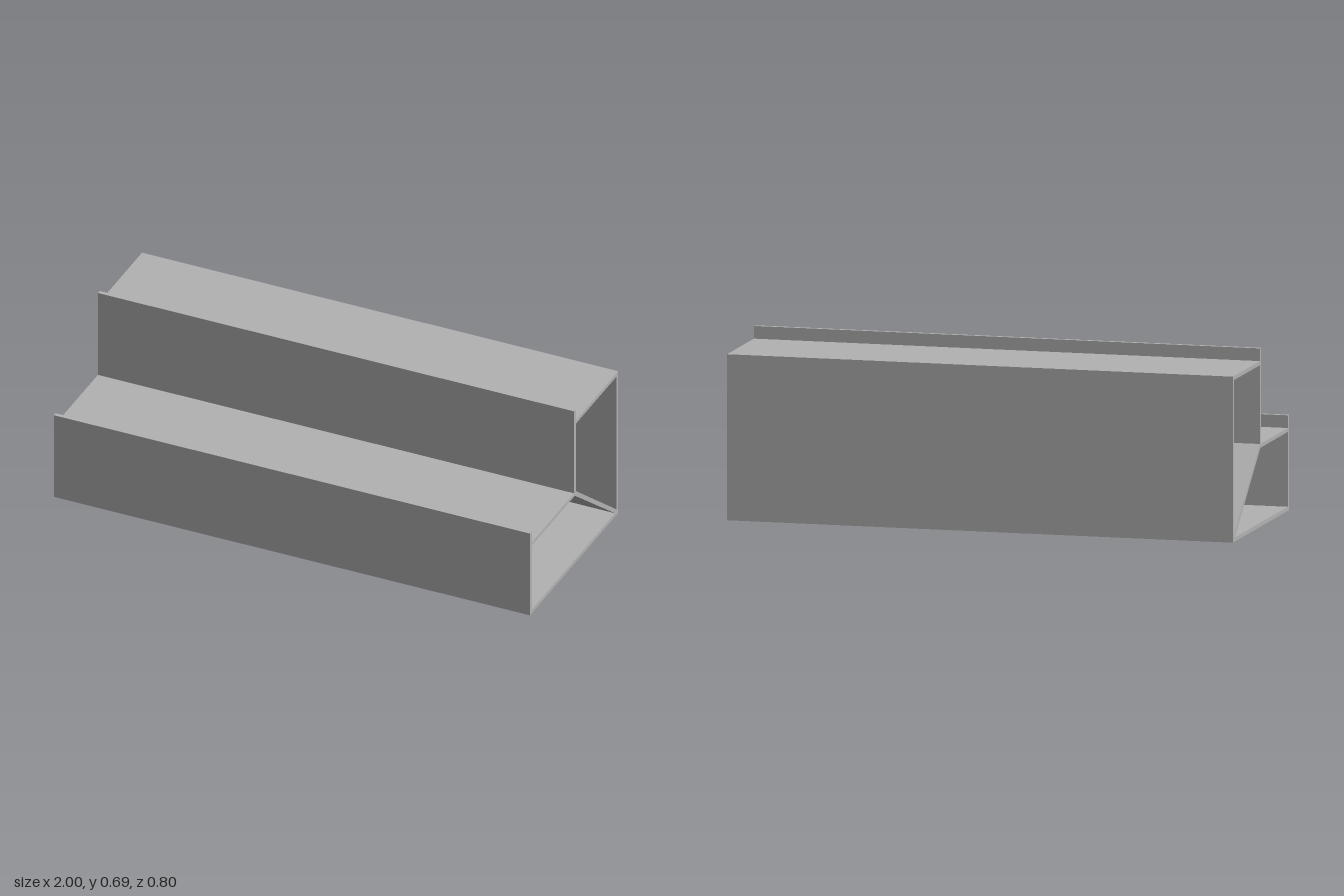
import * as THREE from 'three';

// Stepped hollow profile; u runs toward the back, v runs up
const OUTLINE = [
  [-0.4, 0], [0.4, 0], [0.4, 0.641], [0.016, 0.641], [0.016, 0.69],
  [0, 0.69], [0, 0.32], [-0.384, 0.32], [-0.384, 0.369], [-0.4, 0.369],
];
// Open channels on either side of the diagonal web
const CHANNELS = [
  [[-0.384, 0.016], [0.371, 0.016], [0.007, 0.305], [-0.384, 0.305]],
  [[0.016, 0.321], [0.384, 0.026], [0.384, 0.625], [0.016, 0.625]],
];
const LENGTH = 2;

const toPoints = (list) => list.map(([u, v]) => new THREE.Vector2(u, v));

export function createModel() {
  const group = new THREE.Group();
  group.name = 'steppedProfile';
  const grey = new THREE.MeshStandardMaterial({ color: 0xb2b2b2 });
  grey.name = 'grey';

  const section = new THREE.Shape(toPoints(OUTLINE));
  section.holes = CHANNELS.map((c) => new THREE.Path(toPoints(c)));

  // Extrude the section and lay it along x, centred
  const geometry = new THREE.ExtrudeGeometry(section, { depth: LENGTH, bevelEnabled: false });
  geometry.translate(0, 0, -LENGTH / 2);
  geometry.rotateY(Math.PI / 2);

  const beam = new THREE.Mesh(geometry, grey);
  beam.name = 'hollowBeam';
  group.add(beam);
  return group;
}
